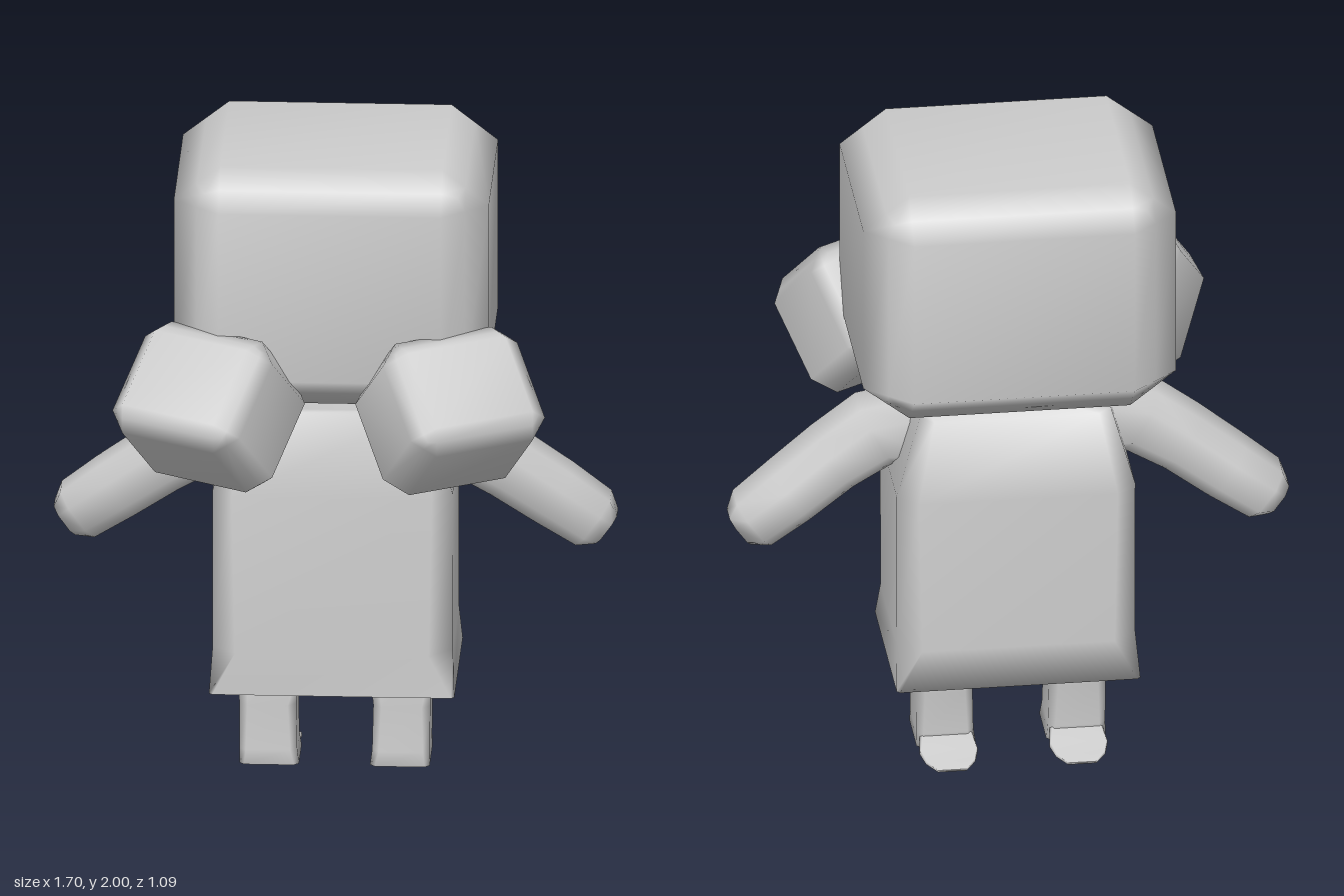
import * as THREE from 'three';
import { mergeVertices } from 'three/addons/utils/BufferGeometryUtils.js';

const clay = new THREE.MeshStandardMaterial({ color: 0xcccccc });
clay.name = 'light grey';

// Box with every edge cut back by c = [cx, cy, cz], shaded smoothly
function bevelBox(size, c) {
  let g = new THREE.BoxGeometry(...size, 3, 3, 3);
  const p = g.attributes.position;
  for (let i = 0; i < p.count; i++) {
    const v = [p.getX(i), p.getY(i), p.getZ(i)];
    const outer = v.map((a, k) => Math.abs(a) > size[k] / 2 - 1e-4);
    const n = outer.filter(Boolean).length;
    p.setXYZ(i, ...v.map((a, k) =>
      Math.sign(a) * (outer[k] ? size[k] / 2 - c[k] * (n - 1) / n : size[k] / 2 - c[k])));
  }
  g.deleteAttribute('normal');
  g.deleteAttribute('uv');
  g = mergeVertices(g);
  g.computeVertexNormals();
  return g;
}

// Loft through cut-corner rectangles, listed from bottom to top.
// Ring: [x, y, z, half width, half depth, corner cut, tilt about z]
function loft(rings) {
  const pos = [], idx = [], n = 8, last = (rings.length - 1) * n;
  for (const [x, y, z, w, d, c, tilt = 0] of rings) {
    const outline = [[w, d - c], [w, c - d], [w - c, -d], [c - w, -d],
      [-w, c - d], [-w, d - c], [c - w, d], [w - c, d]];
    for (const [a, b] of outline) {
      pos.push(x + a * Math.cos(tilt), y + a * Math.sin(tilt), z + b);
    }
  }
  for (let r = 0; r < rings.length - 1; r++) {
    for (let j = 0; j < n; j++) {
      const a = r * n + j, b = r * n + (j + 1) % n;
      idx.push(a, b, b + n, a, b + n, a + n);
    }
  }
  // End caps
  for (let j = 1; j < n - 1; j++) {
    idx.push(0, j + 1, j, last, last + j, last + j + 1);
  }
  const g = new THREE.BufferGeometry();
  g.setAttribute('position', new THREE.Float32BufferAttribute(pos, 3));
  g.setIndex(idx);
  g.computeVertexNormals();
  return g;
}

export function createModel() {
  const model = new THREE.Group();
  const add = (name, geometry) => {
    const mesh = new THREE.Mesh(geometry, clay);
    mesh.name = name;
    model.add(mesh);
    return mesh;
  };

  // Large block head
  add('head', bevelBox([0.95, 0.755, 0.81], [0.14, 0.11, 0.12])).position.set(0, 1.6225, -0.145);

  // Body: tapered shoulders, slightly flared square hem
  add('body', loft([
    [0, 0.3, -0.14, 0.37, 0.27, 0.01],
    [0, 0.43, -0.14, 0.362, 0.262, 0.07],
    [0, 0.93, -0.14, 0.362, 0.26, 0.06],
    [0, 1.185, -0.145, 0.29, 0.215, 0.04],
  ]));

  for (const s of [1, -1]) {
    const side = s > 0 ? 'left' : 'right';

    // Cube in front of the head, standing on one edge and turned outwards
    const cube = add(side + 'Cube', bevelBox([0.455, 0.387, 0.387], [0.065, 0.065, 0.065]));
    cube.position.set(s * 0.364, 1.272, 0.26);
    cube.rotation.set(Math.PI / 4, s * Math.PI / 6, 0, 'YXZ');

    // Arm, from rounded hand up to the shoulder
    add(side + 'Arm', loft([
      [s * 0.817, 0.76, -0.148, 0.055, 0.06, 0.025, s * 0.945],
      [s * 0.777, 0.787, -0.146, 0.088, 0.096, 0.045, s * 0.945],
      [s * 0.66, 0.871, -0.135, 0.095, 0.105, 0.05, s * 0.945],
      [s * 0.53, 0.965, -0.115, 0.097, 0.108, 0.05, s * 0.945],
      [s * 0.40, 1.05, -0.11, 0.105, 0.11, 0.05, s * 1.05],
      [s * 0.26, 1.07, -0.12, 0.11, 0.11, 0.05, s * 1.4],
    ]));

    // Leg
    add(side + 'Leg', loft([
      [s * 0.197, 0.015, -0.137, 0.09, 0.097, 0.015],
      [s * 0.2, 0.06, -0.137, 0.087, 0.093, 0.02],
      [s * 0.202, 0.2, -0.145, 0.086, 0.093, 0.025],
      [s * 0.196, 0.34, -0.153, 0.096, 0.1, 0.03],
    ]));

    // Thin flap trailing behind the foot, lofted upwards then laid back
    const flap = add(side + 'FootFlap', loft([
      [0, 0, 0, 0.08, 0.02, 0.008],
      [0, 0.07, 0, 0.088, 0.009, 0.004],
      [0, 0.12, 0, 0.075, 0.006, 0.003],
      [0, 0.16, 0, 0.045, 0.004, 0.002],
    ]));
    flap.position.set(s * 0.197, 0.037, -0.215);
    flap.rotation.x = -Math.PI / 2 - 0.2;
  }
  return model;
}
